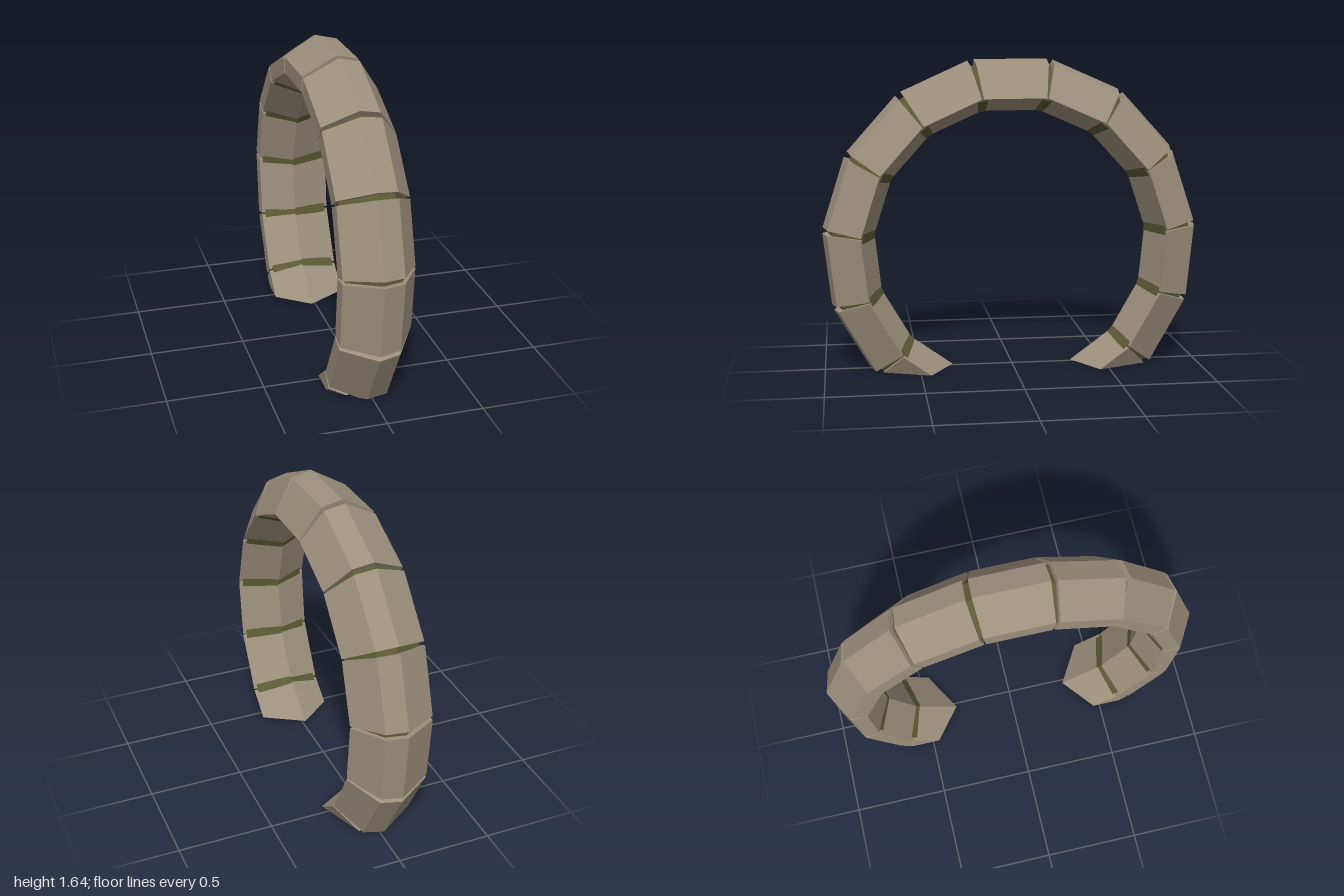
import * as THREE from 'three';

const STEP = THREE.MathUtils.degToRad(24);
const TILT = THREE.MathUtils.degToRad(0.4);
const CENTRE_Y = 0.65;

// Stone cross-section: x across the arch, r outward from the ring centre
const SECTION = [[-0.2, 0.885], [-0.025, 0.985], [0.085, 0.96], [0.195, 0.79], [-0.02, 0.715], [-0.2, 0.8]];

// Keep the part of a polygon that lies above the ground
function clipToGround(poly) {
  const out = [];
  poly.forEach((a, i) => {
    const b = poly[(i + 1) % poly.length];
    if (a.y >= 0) out.push(a);
    if ((a.y >= 0) !== (b.y >= 0)) out.push(a.clone().lerp(b, a.y / (a.y - b.y)));
  });
  return out;
}

// Prism across the arch at a ring angle; halfLength gives its half length at radius r
function segmentGeometry(section, angle, halfLength) {
  const c = Math.cos(angle), s = Math.sin(angle);
  const ring = (side) => section.map(([x, r]) => {
    const t = side * halfLength(r);
    return new THREE.Vector3(x, CENTRE_Y + r * c - t * s, r * s + t * c);
  });
  const near = ring(1), far = ring(-1);
  const faces = [[...near].reverse(), far];
  near.forEach((p, i) => {
    const j = (i + 1) % near.length;
    faces.push([p, near[j], far[j], far[i]]);
  });

  const points = [];
  for (const face of faces) {
    const poly = clipToGround(face);
    for (let i = 1; i < poly.length - 1; i++) points.push(poly[0], poly[i], poly[i + 1]);
  }
  const geometry = new THREE.BufferGeometry().setFromPoints(points);
  geometry.computeVertexNormals();
  return geometry;
}

export function createModel() {
  const model = new THREE.Group();
  model.name = 'stoneArch';
  const stone = new THREE.MeshStandardMaterial({ color: 0x9c907c, flatShading: true, side: THREE.DoubleSide });
  const mortar = new THREE.MeshStandardMaterial({ color: 0x5a5a35, flatShading: true, side: THREE.DoubleSide });

  const add = (name, geometry, material) => {
    const mesh = new THREE.Mesh(geometry, material);
    mesh.name = name;
    model.add(mesh);
  };

  // Thirteen stones, touching inside and slightly apart outside
  for (let k = -6; k <= 6; k++) {
    add(`stone${k + 7}`, segmentGeometry(SECTION, TILT + k * STEP, (r) => 0.152 + 0.15 * (r - 0.715)), stone);
  }

  // Inset mortar in each joint
  const inset = SECTION.map(([x, r]) => [x * 0.91, 0.85 + (r - 0.85) * 0.91]);
  for (let k = -6; k < 6; k++) {
    add(`mortar${k + 7}`, segmentGeometry(inset, TILT + (k + 0.5) * STEP, () => 0.025), mortar);
  }
  return model;
}
